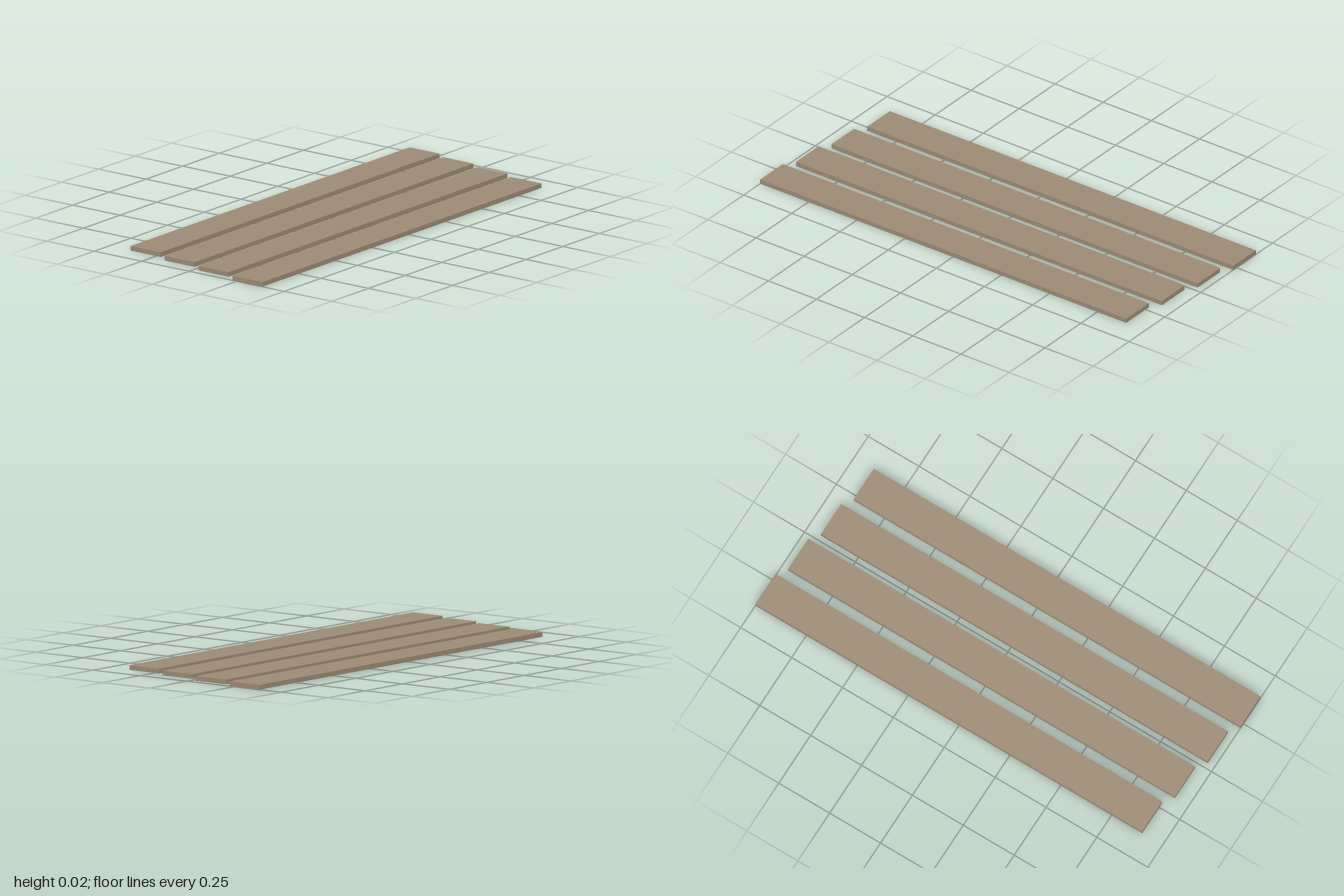
import * as THREE from 'three';

export function createModel() {
  const model = new THREE.Group();
  model.name = 'plankSet';

  const count = 4, length = 1.9, thickness = 0.02, width = 0.158;
  const spacing = 0.204; // distance between plank centre lines
  const stagger = 0.0333; // sideways shift from one plank to the next

  const wood = new THREE.MeshStandardMaterial({ color: 0x9c8b75 });
  const plankGeometry = new THREE.BoxGeometry(length, thickness, width);

  // Parallel planks, each shifted further to the right towards the front
  for (let i = 0; i < count; i++) {
    const step = i - (count - 1) / 2;
    const plank = new THREE.Mesh(plankGeometry, wood);
    plank.name = `plank${i + 1}`;
    plank.position.set(-step * stagger, thickness / 2, step * spacing);
    model.add(plank);
  }
  return model;
}
